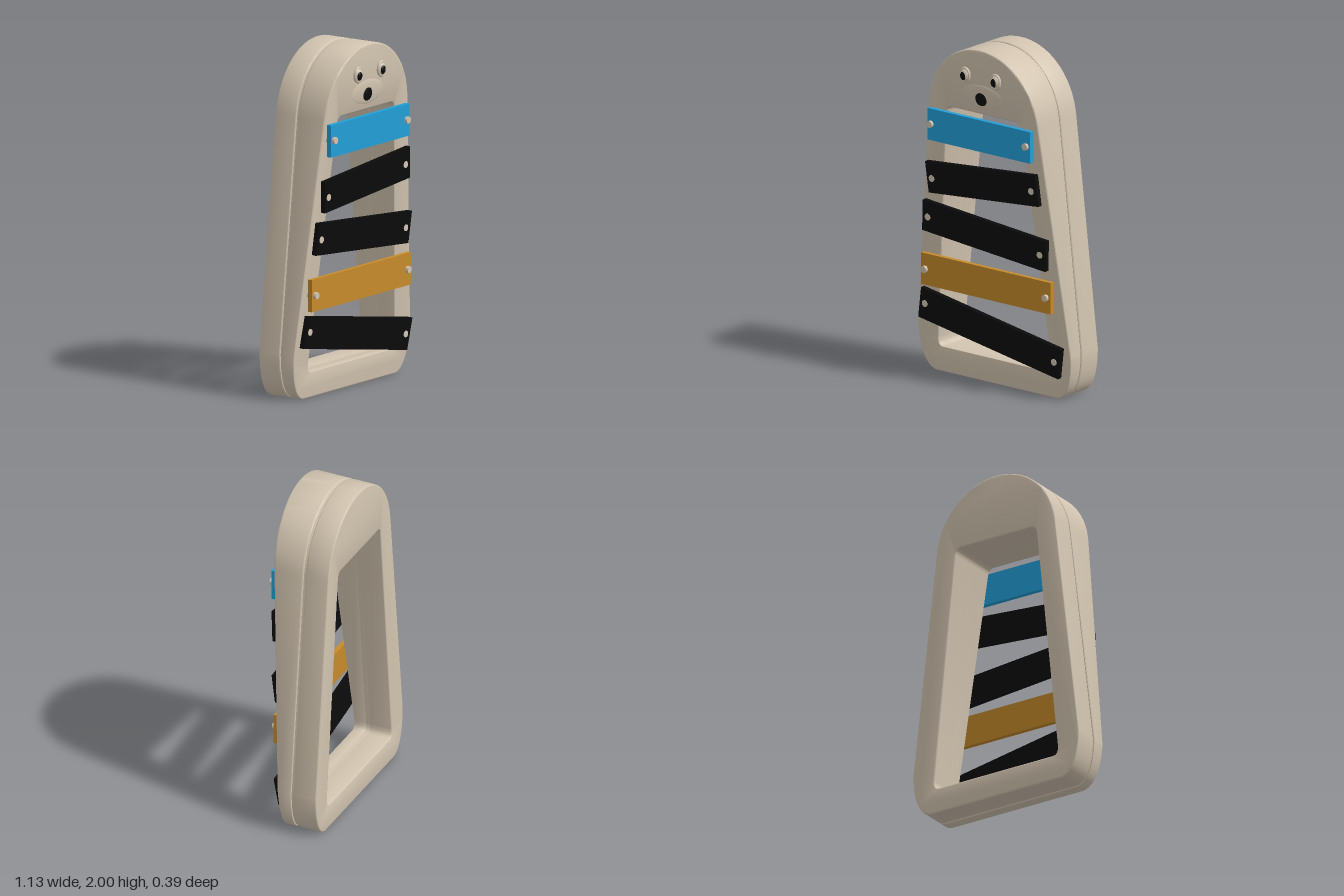
import * as THREE from 'three';
import { toCreasedNormals } from 'three/addons/utils/BufferGeometryUtils.js';

function material(name, color) {
  const m = new THREE.MeshStandardMaterial({ color });
  m.name = name;
  return m;
}

const BACK = -0.195;
const SLOPE = 0.0725;
const frontZ = (y) => 0.03 + SLOPE * y; // leaning front face

// Bell-shaped outline with a tapered window; inset shrinks the solid band
function frameShape(inset) {
  const i = inset;
  const s = new THREE.Shape();
  s.moveTo(-0.45, i);
  s.lineTo(0.45, i);
  s.bezierCurveTo(0.53 - i, 0.015 + i, 0.565 - i, 0.13, 0.565 - i, 0.27);
  s.lineTo(0.405 - i, 1.62);
  s.bezierCurveTo(0.375 - i, 1.85, 0.2, 2 - i, 0, 2 - i);
  s.bezierCurveTo(-0.2, 2 - i, -0.375 + i, 1.85, -0.405 + i, 1.62);
  s.lineTo(-0.565 + i, 0.27);
  s.bezierCurveTo(-0.565 + i, 0.13, -0.53 + i, 0.015 + i, -0.45, i);

  const h = new THREE.Path();
  h.moveTo(-0.385, 0.15);
  h.quadraticCurveTo(-0.42, 0.15, -0.42, 0.2);
  h.lineTo(-0.277, 1.57);
  h.quadraticCurveTo(-0.272, 1.615, -0.235, 1.615);
  h.lineTo(0.235, 1.615);
  h.quadraticCurveTo(0.272, 1.615, 0.277, 1.57);
  h.lineTo(0.42, 0.2);
  h.quadraticCurveTo(0.42, 0.15, 0.385, 0.15);
  h.closePath();
  s.holes.push(h);
  return s;
}

// Extrude the outline from z0 to z1(y), with softly rounded edges
function slab(inset, z0, z1, bevel) {
  const depth = 0.15;
  const geo = new THREE.ExtrudeGeometry(frameShape(inset), {
    depth: depth - 2 * bevel,
    bevelEnabled: bevel > 0,
    bevelThickness: bevel,
    bevelSize: bevel,
    bevelOffset: -bevel,
    bevelSegments: 3,
    curveSegments: 18,
  });
  const p = geo.attributes.position;
  for (let k = 0; k < p.count; k++) {
    const t = (p.getZ(k) + bevel) / depth;
    p.setZ(k, z0 + t * (z1(p.getY(k)) - z0));
  }
  return toCreasedNormals(geo, 0.65);
}

export function createModel() {
  const group = new THREE.Group();
  const tan = material('warm beige', 0xd2c4b0);
  const black = material('black', 0x0b0b0b);
  const blue = material('blue', 0x22a0d8);
  const amber = material('amber', 0xc68a2b);

  function add(name, geo, mat, x = 0, y = 0, z = 0, parent = group) {
    const mesh = new THREE.Mesh(geo, mat);
    mesh.name = name;
    mesh.position.set(x, y, z);
    parent.add(mesh);
    return mesh;
  }

  // Frame halves with a shallow seam between them
  add('backFrame', slab(0, BACK, () => -0.05, 0.008), tan);
  add('frontFrame', slab(0, -0.037, frontZ, 0.008), tan);
  add('seamCore', slab(0.009, -0.06, () => -0.03, 0), tan);

  // Sound bars: centre, length, roll, depth, pins as [x, y]
  const bars = [
    { name: 'topBar', mat: blue, x: -0.005, y: 1.497, z: 0.165, len: 0.76, roll: 0, pins: [[-0.36, 1.5], [0.345, 1.5]] },
    { name: 'secondBar', mat: black, x: -0.002, y: 1.209, z: 0.143, len: 0.82, roll: 0.086, pins: [[-0.375, 1.17], [0.365, 1.235]] },
    { name: 'middleBar', mat: black, x: -0.005, y: 0.898, z: 0.12, len: 0.91, roll: -0.087, pins: [[-0.42, 0.93], [0.405, 0.86]] },
    { name: 'fourthBar', mat: amber, x: -0.005, y: 0.612, z: 0.103, len: 0.96, roll: 0, pins: [[-0.455, 0.612], [0.44, 0.612]] },
    { name: 'bottomBar', mat: black, x: -0.001, y: 0.314, z: 0.076, len: 1.04, roll: -0.174, pins: [[-0.475, 0.4], [0.47, 0.23]] },
  ];
  for (const b of bars) {
    const straight = b.roll === 0;
    const bar = add(b.name, new THREE.BoxGeometry(b.len, 0.186, 0.028), b.mat, b.x, b.y, b.z);
    bar.rotation.set(straight ? 0 : Math.atan(SLOPE), 0, b.roll);

    // Mounting pins, proud on the straight bars and nearly flush on the others
    for (const [px, py] of b.pins) {
      const start = frontZ(py) - 0.02;
      const end = straight ? b.z + 0.031 : b.z + SLOPE * (py - b.y) + 0.017;
      const pin = new THREE.CylinderGeometry(0.02, 0.02, end - start, 16);
      pin.rotateX(Math.PI / 2);
      add(b.name + 'Pin', pin, tan, px, py, (start + end) / 2);
    }
  }

  // Face
  const ball = new THREE.SphereGeometry(1, 28, 18);
  const muzzle = add('muzzle', ball, tan, 0, 1.72, frontZ(1.72) - 0.004);
  muzzle.scale.set(0.16, 0.075, 0.012);
  muzzle.rotation.x = Math.atan(SLOPE);
  const nose = add('nose', ball, black, -0.005, 1.71, frontZ(1.71) + 0.002);
  nose.scale.set(0.045, 0.042, 0.014);

  for (const side of [-1, 1]) {
    const eye = new THREE.Group();
    eye.name = side > 0 ? 'leftEye' : 'rightEye';
    eye.position.set(side * 0.113, 1.835, frontZ(1.835));
    group.add(eye);
    add('eyeball', ball, tan, 0, 0, 0, eye).scale.set(0.034, 0.043, 0.03);
    add('eyelid', new THREE.TorusGeometry(0.034, 0.007, 8, 28), tan, 0, 0, 0.009, eye).scale.set(0.95, 1.18, 1.2);
    add('pupil', ball, black, -0.003, -0.003, 0.021, eye).scale.set(0.021, 0.026, 0.012);
  }
  return group;
}
